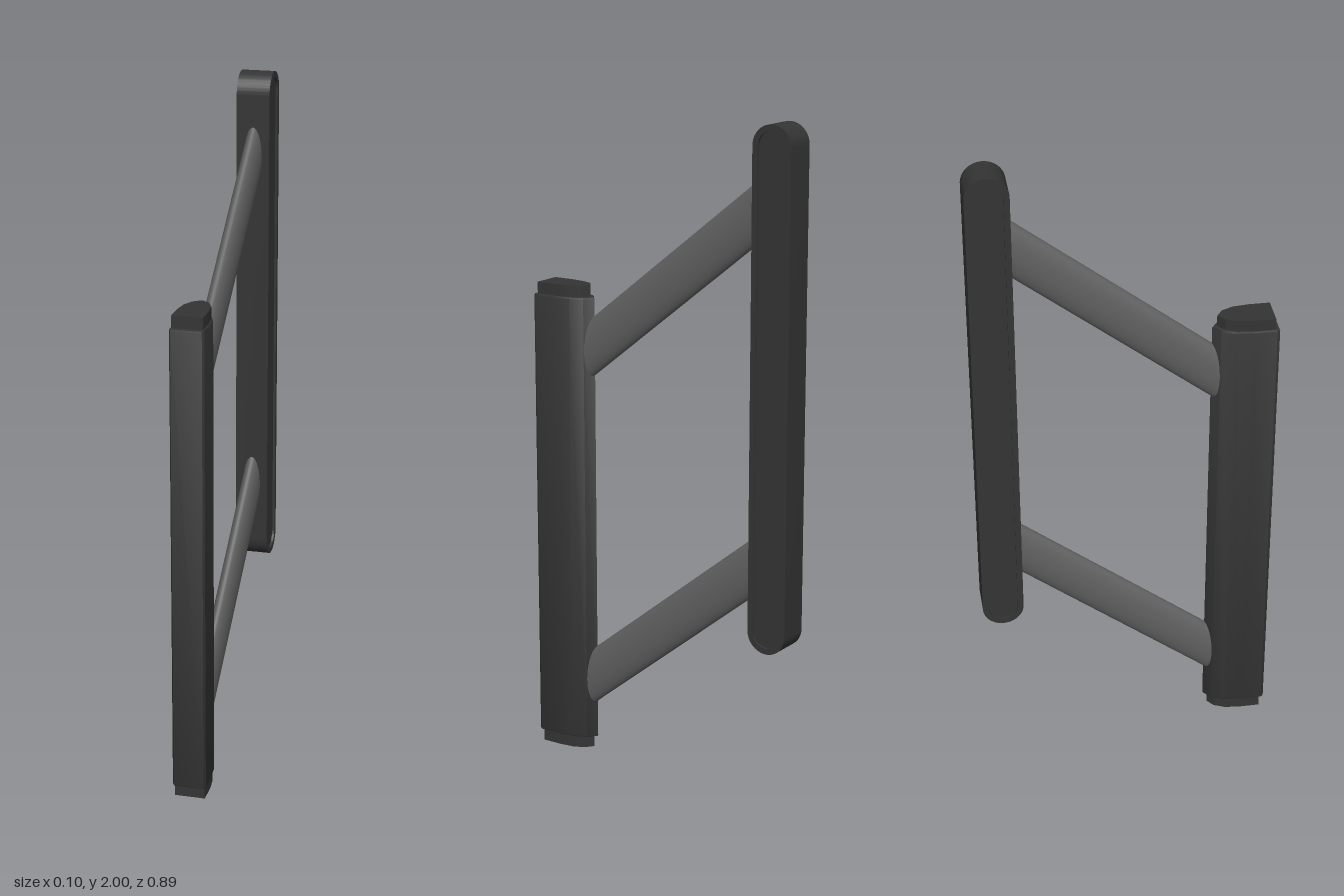
import * as THREE from 'three';
import { toCreasedNormals } from 'three/addons/utils/BufferGeometryUtils.js';

const charcoal = new THREE.MeshStandardMaterial({ color: 0x343434 });
charcoal.name = 'charcoal';
const grey = new THREE.MeshStandardMaterial({ color: 0x606060 });
grey.name = 'grey metal';

function addMesh(parent, name, geometry, material) {
  const mesh = new THREE.Mesh(geometry, material);
  mesh.name = name;
  parent.add(mesh);
  return mesh;
}

// Vertical prism from a mirrored half profile of [x, z] points
function prism(half, y0, y1, bevel) {
  const right = half.map(([x, z]) => new THREE.Vector2(x, -z));
  const left = half.filter(([x]) => x > 0).map(([x, z]) => new THREE.Vector2(-x, -z)).reverse();
  const geo = new THREE.ExtrudeGeometry(new THREE.Shape([...right, ...left]), {
    depth: y1 - y0 - 2 * bevel, bevelEnabled: bevel > 0, bevelSize: bevel,
    bevelThickness: bevel, bevelOffset: -bevel, bevelSegments: 2,
  });
  geo.rotateX(-Math.PI / 2).translate(0, y0 + bevel, 0);
  return toCreasedNormals(geo, 0.45);
}

// Closed pill outline in the side plane
function pill(Type, r) {
  const c = 0.3825, low = 0.5175, high = 1.9375;
  const path = new Type();
  path.absarc(c, high, r, 0, Math.PI, false);
  path.absarc(c, low, r, Math.PI, 2 * Math.PI, false);
  path.closePath();
  return path;
}

function pillSlab(shape, halfWidth) {
  const geo = new THREE.ExtrudeGeometry(shape, { depth: 2 * halfWidth, bevelEnabled: false, curveSegments: 20 });
  geo.translate(0, 0, -halfWidth).rotateY(Math.PI / 2);
  return toCreasedNormals(geo, 0.5);
}

export function createModel() {
  const model = new THREE.Group();
  model.name = 'handleFrame';

  // Front grip with smaller end caps
  const grip = new THREE.Group();
  grip.name = 'frontGrip';
  model.add(grip);
  addMesh(grip, 'gripBody', prism([
    [0.045, 0.445], [0.05, 0.437], [0.05, 0.37], [0.044, 0.318], [0.028, 0.277], [0, 0.255],
  ], 0.035, 1.44, 0.006), charcoal);
  const capProfile = [[0.045, 0.432], [0.045, 0.37], [0.04, 0.322], [0.025, 0.288], [0, 0.269]];
  addMesh(grip, 'bottomCap', prism(capProfile, 0, 0.05, 0), charcoal);
  addMesh(grip, 'topCap', prism(capProfile, 1.425, 1.475, 0), charcoal);

  // Rear plate: a rim around a slightly sunken panel on both sides
  const plate = new THREE.Group();
  plate.name = 'rearPlate';
  model.add(plate);
  const rim = pill(THREE.Shape, 0.0625);
  rim.holes.push(pill(THREE.Path, 0.045));
  addMesh(plate, 'plateRim', pillSlab(rim, 0.05), charcoal);
  addMesh(plate, 'platePanel', pillSlab(pill(THREE.Shape, 0.045), 0.043), charcoal);

  // Two parallel oval struts rising from grip to plate
  const zFront = 0.35, zBack = -0.38, slope = 0.797;
  const run = zFront - zBack, rise = run * slope;
  for (const [name, yAtGrip] of [['lowerStrut', 0.235], ['upperStrut', 1.28]]) {
    const geo = new THREE.CylinderGeometry(1, 1, 1, 40);
    geo.scale(0.027, Math.hypot(run, rise), 0.071);
    const strut = addMesh(model, name, geo, grey);
    strut.rotation.x = -Math.atan2(run, rise);
    const zMid = (zFront + zBack) / 2;
    strut.position.set(0, yAtGrip + (0.27 - zMid) * slope, zMid);
  }
  return model;
}
